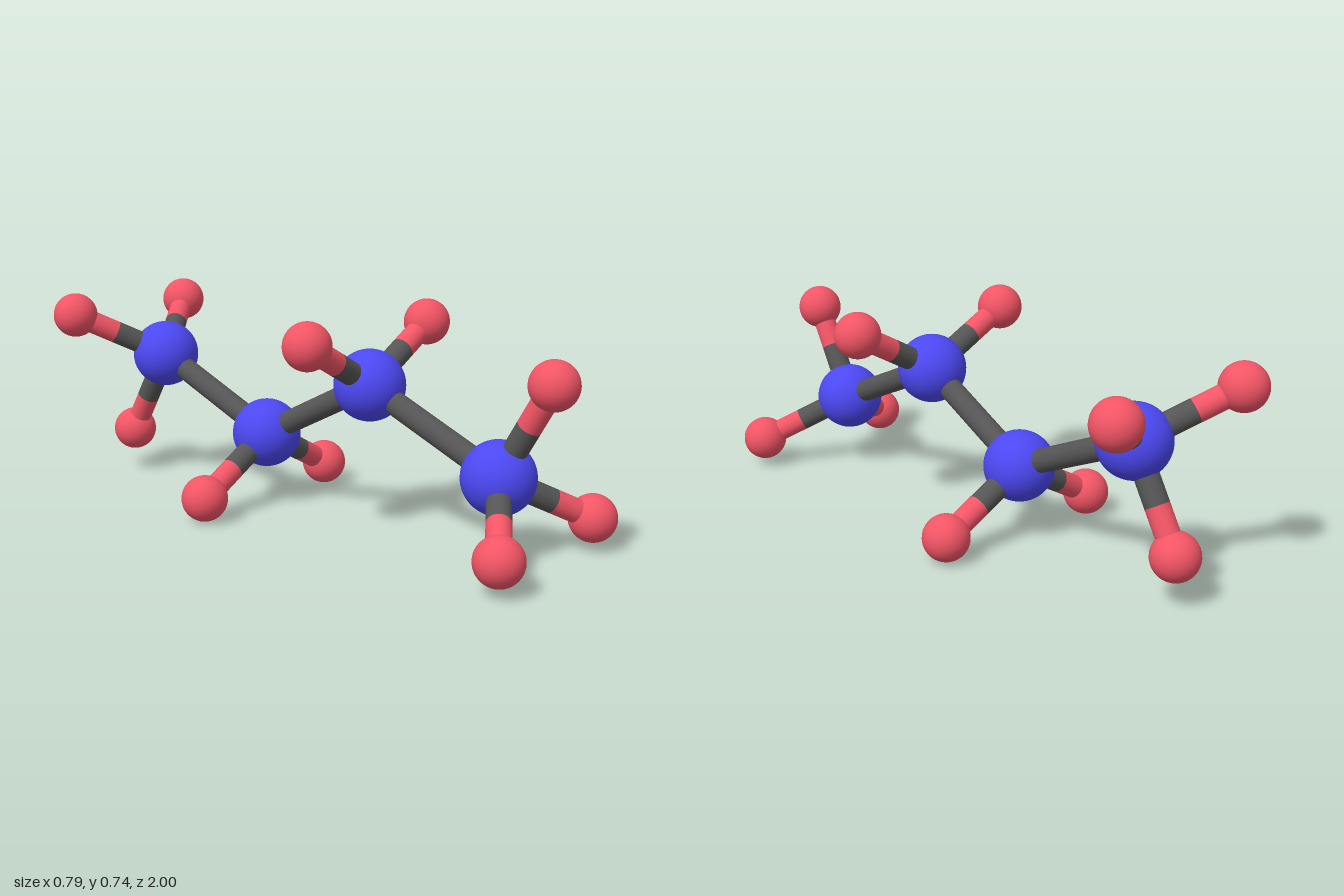
import * as THREE from 'three';

const BIG = 0.12, SMALL = 0.079, ROD = 0.04;
const material = (color) => new THREE.MeshStandardMaterial({ color });

export function createModel() {
  const model = new THREE.Group();
  const blue = material(0x4c48f2), red = material(0xf25565), grey = material(0x555555);
  const bigGeometry = new THREE.SphereGeometry(BIG, 48, 32);
  const smallGeometry = new THREE.SphereGeometry(SMALL, 40, 24);

  function ball(name, geometry, mat, position) {
    const mesh = new THREE.Mesh(geometry, mat);
    mesh.name = name;
    mesh.position.copy(position);
    model.add(mesh);
  }

  // straight rod between two points
  function rod(name, a, b, mat) {
    const dir = b.clone().sub(a);
    const mesh = new THREE.Mesh(new THREE.CylinderGeometry(ROD, ROD, dir.length(), 32, 1, true), mat);
    mesh.name = name;
    mesh.position.copy(a).add(b).multiplyScalar(0.5);
    mesh.quaternion.setFromUnitVectors(new THREE.Vector3(0, 1, 0), dir.normalize());
    model.add(mesh);
  }

  // point on the axis from a to b, where the rod meets a ball of radius r around a
  const seat = (a, b, r) => a.clone().addScaledVector(b.clone().sub(a).normalize(), Math.sqrt(r * r - ROD * ROD));

  // one half of the chain, from the end inwards: [centre, outer balls], heights relative to the middle
  const half = [
    [[0, -0.106, 0.738], [[0, 0.21, 0.921], [0.273, -0.264, 0.921], [-0.273, -0.264, 0.921]]],
    [[0, 0.117, 0.23], [[0.315, 0.289, 0.23], [-0.315, 0.289, 0.23]]],
  ];

  // the other half is the same, inverted through the middle
  const chain = [];
  for (const s of [1, -1]) {
    const place = ([x, y, z]) => new THREE.Vector3(x * s, 0.369 + y * s, z * s);
    const centres = half.map(([centre, outer]) => {
      const c = place(centre);
      ball('chainBall', bigGeometry, blue, c);
      for (const p of outer) {
        const o = place(p);
        ball('outerBall', smallGeometry, red, o);
        const start = seat(c, o, BIG), end = seat(o, c, SMALL);
        const middle = start.clone().lerp(end, 0.5);
        rod('innerRod', start, middle, grey);
        rod('outerRod', middle, end, red);
      }
      return c;
    });
    chain.push(...(s > 0 ? centres : centres.reverse()));
  }

  // rods along the zigzag chain
  for (let i = 0; i < chain.length - 1; i++) {
    const a = chain[i], b = chain[i + 1];
    rod('chainRod', seat(a, b, BIG), seat(b, a, BIG), grey);
  }
  return model;
}
